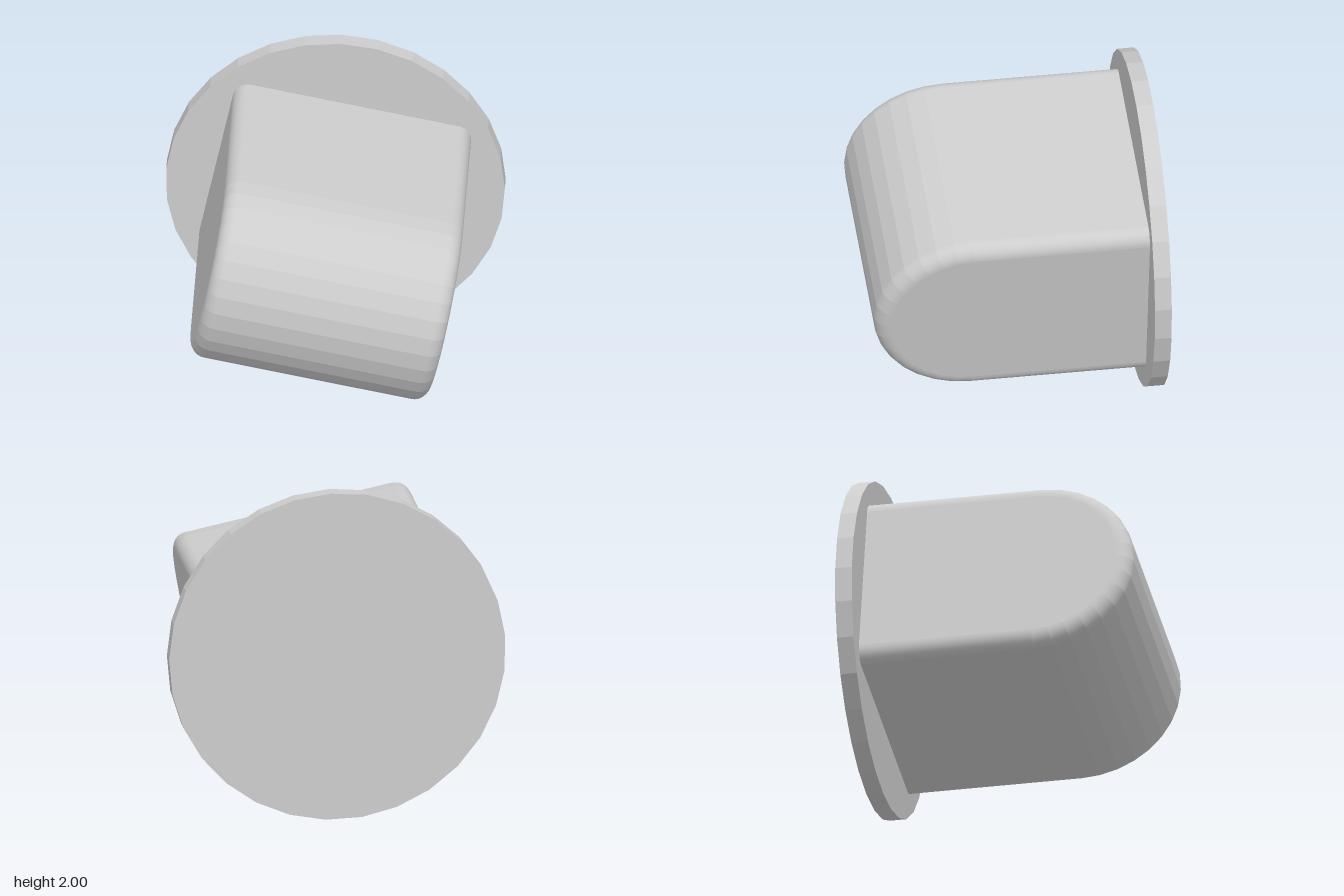
import * as THREE from 'three';

const HALF_W = 0.715, HALF_H = 0.577, BEVEL = 0.09;
const BACK = -0.8, ARC_Z = 0.287, ARC_STEPS = 16, BEVEL_STEPS = 8;

// Side profile [y, z]: straight top, half-round nose, straight bottom
function profile(radius) {
  const pts = [[radius, BACK]];
  for (let i = 0; i <= ARC_STEPS; i++) {
    const a = Math.PI / 2 - (i / ARC_STEPS) * Math.PI;
    pts.push([radius * Math.sin(a), ARC_Z + radius * Math.cos(a)]);
  }
  pts.push([-radius, BACK]);
  return pts;
}

// Faceted around the nose, smooth across the rounded side edges
function blockGeometry() {
  const rows = [];
  for (const side of [-1, 1]) {
    for (let i = 0; i <= BEVEL_STEPS; i++) {
      const k = side < 0 ? BEVEL_STEPS - i : i;
      const t = (k / BEVEL_STEPS) * Math.PI / 2;
      const x = side * (HALF_W - BEVEL + BEVEL * Math.sin(t));
      rows.push({ x, pts: profile(HALF_H - BEVEL * (1 - Math.cos(t))) });
    }
  }
  const pos = [], idx = [];
  const count = rows[0].pts.length;

  // One strip per profile edge
  for (let e = 0; e < count - 1; e++) {
    const base = pos.length / 3;
    for (const { x, pts } of rows) {
      pos.push(x, ...pts[e], x, ...pts[e + 1]);
    }
    for (let r = 0; r < rows.length - 1; r++) {
      const a = base + r * 2;
      idx.push(a, a + 1, a + 3, a, a + 3, a + 2);
    }
  }

  // Flat side caps
  for (const row of [rows[0], rows[rows.length - 1]]) {
    const base = pos.length / 3;
    for (const p of row.pts) pos.push(row.x, ...p);
    for (let i = 1; i < count - 1; i++) {
      if (row.x > 0) idx.push(base, base + i, base + i + 1);
      else idx.push(base, base + i + 1, base + i);
    }
  }

  const geo = new THREE.BufferGeometry();
  geo.setAttribute('position', new THREE.Float32BufferAttribute(pos, 3));
  geo.setIndex(idx);
  geo.computeVertexNormals();
  return geo;
}

export function createModel() {
  const model = new THREE.Group();
  model.name = 'roundedBlockOnDisc';
  const grey = new THREE.MeshStandardMaterial({ color: 0xcccccc });
  grey.name = 'light grey';

  // Both parts share a very slight tilt
  const body = new THREE.Group();
  body.name = 'body';
  body.position.y = 1;
  body.rotation.set(0.005, 0.0075, 0);
  model.add(body);

  // Round base plate with faceted rim
  const discGeo = new THREE.CylinderGeometry(1, 1, 0.1, 29, 1, false, THREE.MathUtils.degToRad(4.1))
    .rotateX(Math.PI / 2).toNonIndexed();
  discGeo.computeVertexNormals();
  const disc = new THREE.Mesh(discGeo, grey);
  disc.name = 'basePlate';
  disc.position.set(0, -0.004, -0.805);
  body.add(disc);

  // Half-round block, turned on the plate
  const block = new THREE.Mesh(blockGeometry(), grey);
  block.name = 'roundedBlock';
  block.rotation.z = THREE.MathUtils.degToRad(-11.7);
  body.add(block);

  return model;
}
